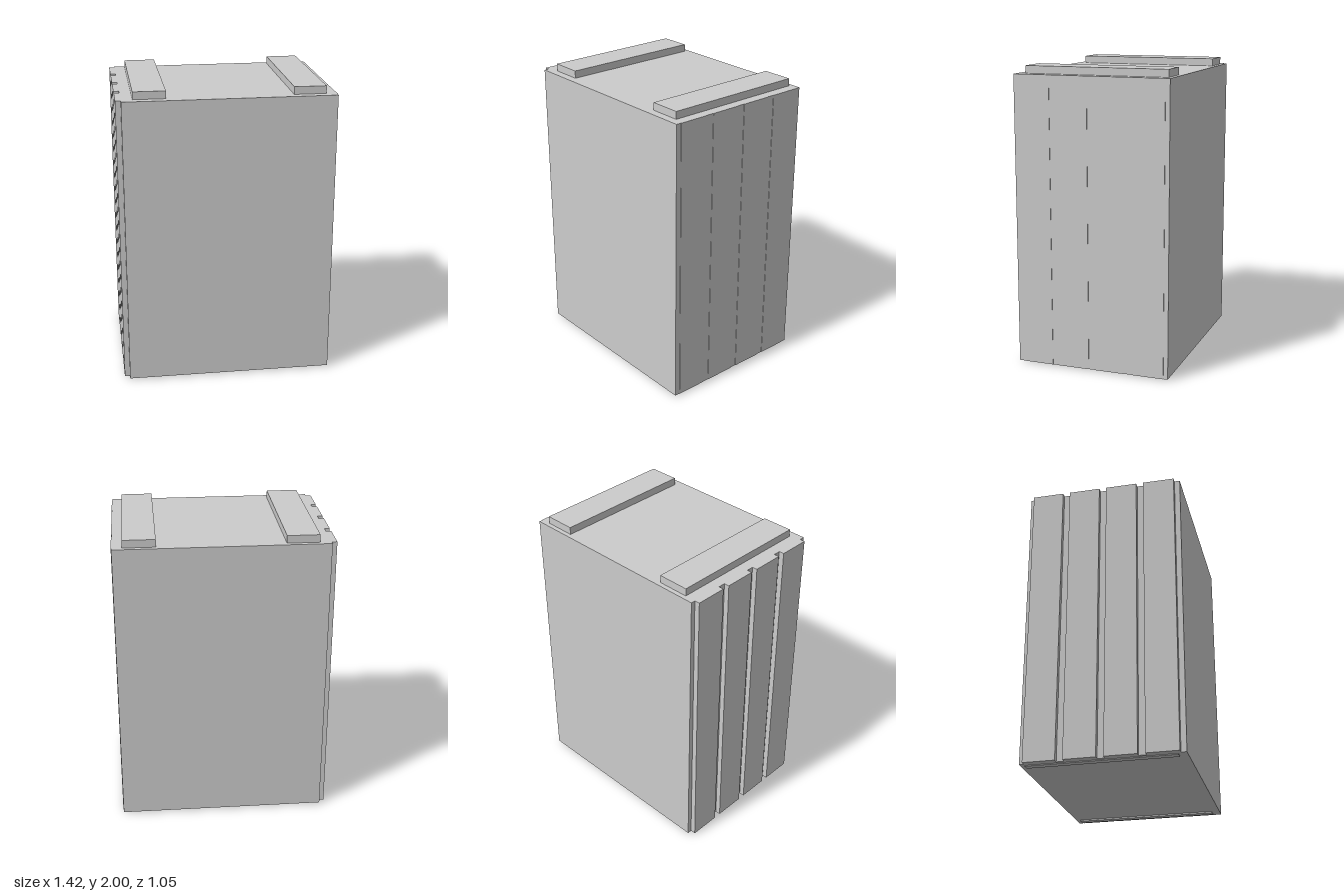
import * as THREE from 'three';

const material = new THREE.MeshStandardMaterial({ color: 0xcccccc, flatShading: true });

// Box given by its lower and upper bounds on each axis
function block(name, [x0, x1], [y0, y1], [z0, z1]) {
  const mesh = new THREE.Mesh(new THREE.BoxGeometry(x1 - x0, y1 - y0, z1 - z0), material);
  mesh.position.set((x0 + x1) / 2, (y0 + y1) / 2, (z0 + z1) / 2);
  mesh.name = name;
  return mesh;
}

export function createModel() {
  const model = new THREE.Group();
  model.name = 'crate';
  const height = [0.01, 1.95];
  const railDepth = [-0.497, 0.473];

  // Main body
  model.add(block('body', [-0.676, 0.705], height, [-0.527, 0.527]));

  // Vertical slats: proud on one side, almost flush on the other
  for (let i = 0; i < 4; i++) {
    const z = -0.497 + i * 0.259;
    const depth = [z, z + 0.211];
    model.add(block('rightSlat', [-0.711, -0.676], height, depth));
    model.add(block('leftSlat', [0.705, 0.708], height, depth));
  }

  // Rails across the lid
  model.add(block('rightTopRail', [-0.602, -0.391], [1.95, 2], railDepth));
  model.add(block('leftTopRail', [0.428, 0.639], [1.95, 2], railDepth));

  // Thin runners under the base
  model.add(block('rightRunner', [-0.655, -0.608], [0.005, 0.01], railDepth));
  model.add(block('leftRunner', [0.615, 0.662], [0, 0.01], railDepth));

  return model;
}
